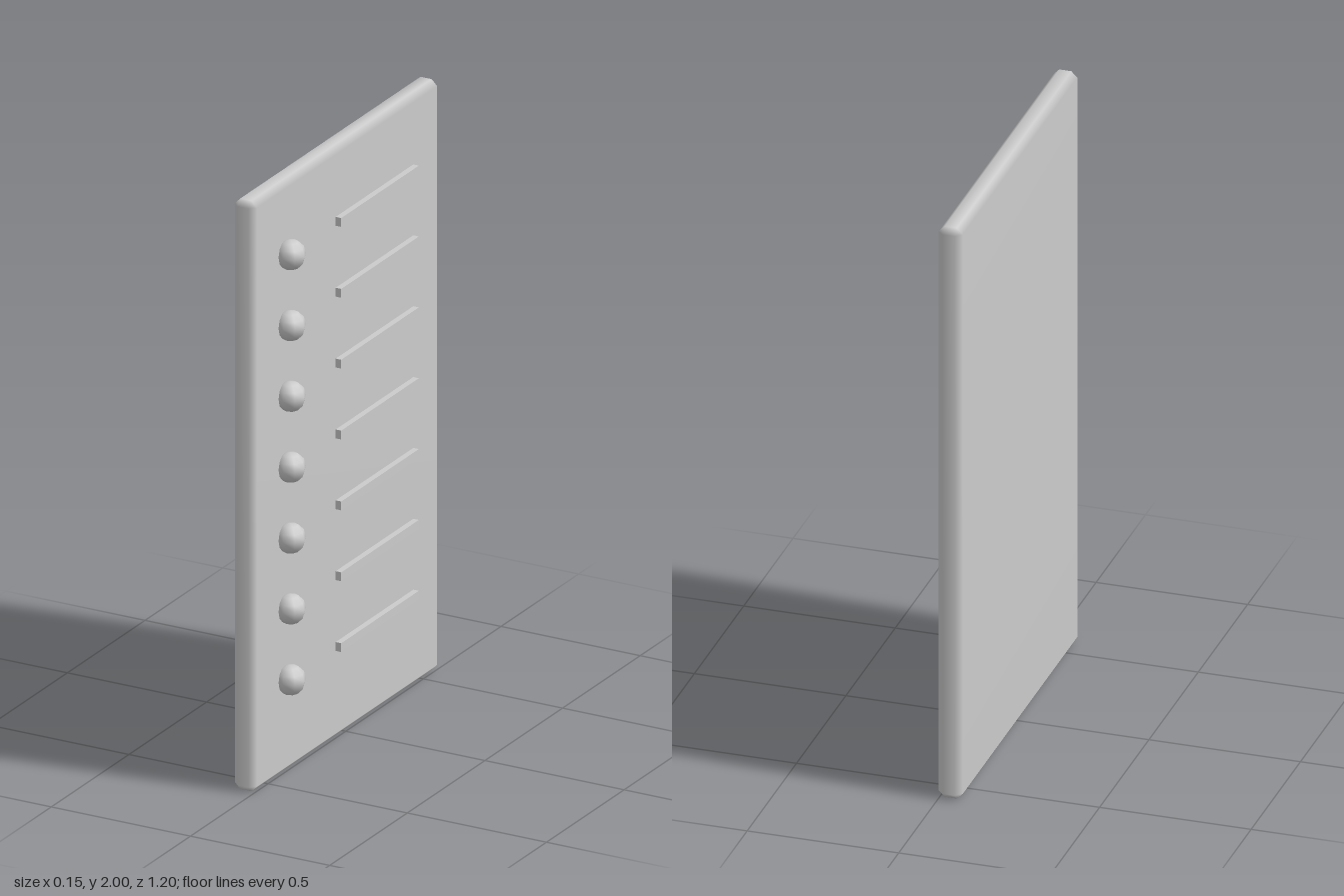
import * as THREE from 'three';
import { ConvexGeometry } from 'three/addons/geometries/ConvexGeometry.js';
import { mergeVertices } from 'three/addons/utils/BufferGeometryUtils.js';

// Box with every edge and corner cut at 45 degrees, shaded smoothly over the cuts
function chamferedBox(w, h, d, c) {
  const points = [];
  for (const sx of [-1, 1]) for (const sy of [-1, 1]) for (const sz of [-1, 1]) {
    for (let flush = 0; flush < 3; flush++) {
      const p = [w / 2 - c, h / 2 - c, d / 2 - c];
      p[flush] += c;
      points.push(new THREE.Vector3(sx * p[0], sy * p[1], sz * p[2]));
    }
  }
  const hull = new ConvexGeometry(points);
  hull.deleteAttribute('normal');
  const geometry = mergeVertices(hull, 1e-4);
  geometry.computeVertexNormals();
  return geometry;
}

export function createModel() {
  const group = new THREE.Group();
  group.name = 'panelWithKnobs';
  const grey = new THREE.MeshStandardMaterial({ color: 0xcccccc });

  function add(name, geometry, x, y, z) {
    const mesh = new THREE.Mesh(geometry, grey);
    mesh.name = name;
    mesh.position.set(x, y, z);
    group.add(mesh);
  }

  // Upright board
  add('board', chamferedBox(0.08, 2, 1.2, 0.02), -0.035, 1, 0);

  // Seven rows, each with a round knob and a thin bar beside it
  const knob = new THREE.SphereGeometry(0.05, 8, 6);
  const bar = new THREE.BoxGeometry(0.02, 0.03, 0.5);
  for (let i = 0; i < 7; i++) {
    const y = 0.322 + i * 0.24;
    add(`knob${i + 1}`, knob, 0.025, y, 0.4);
    add(`bar${i + 1}`, bar, 0.024, y, -0.16);
  }
  return group;
}
